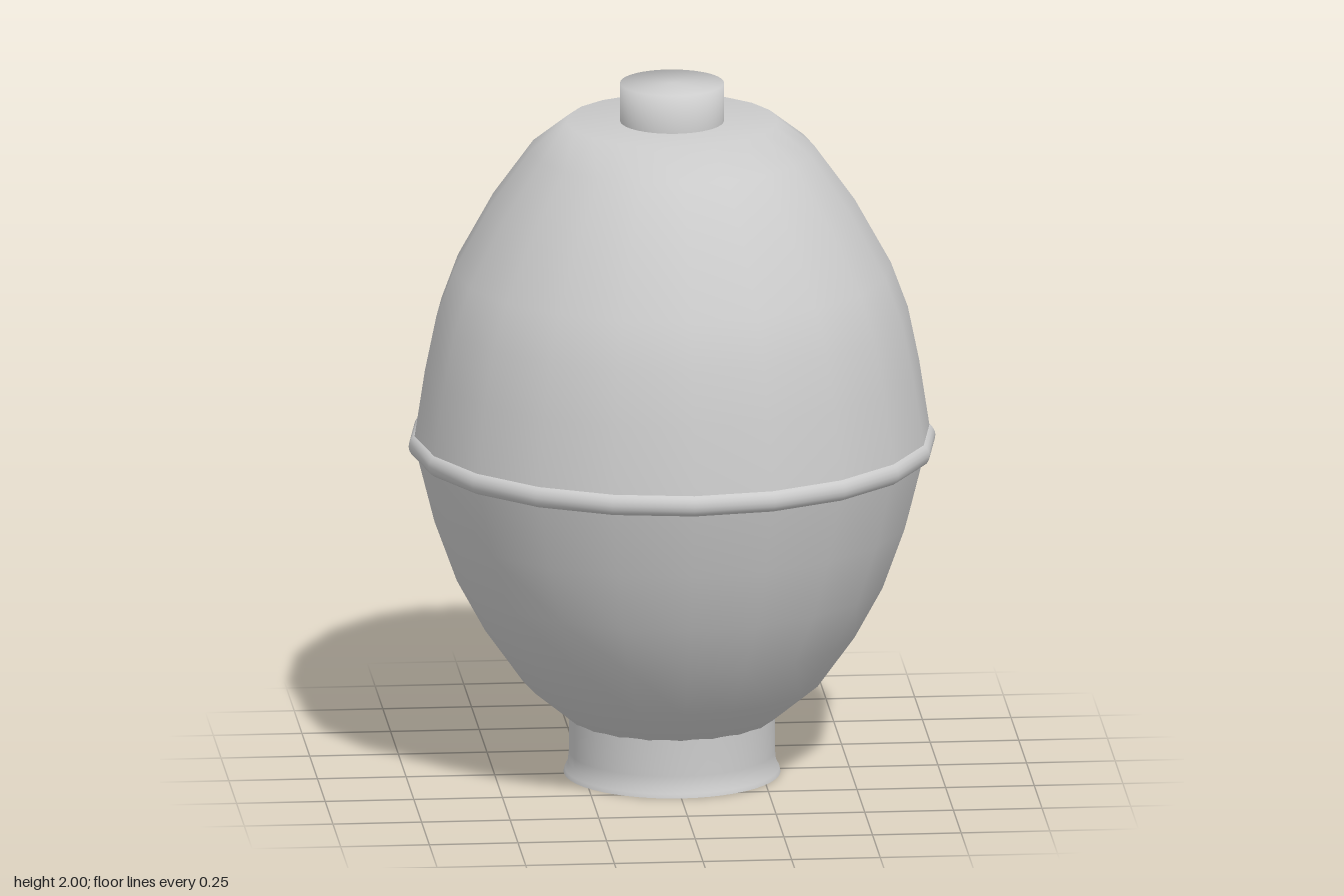
import * as THREE from 'three';

// Revolve a bottom-to-top list of [radius, height] pairs with smooth normals
function turned(name, profile, sides) {
  const points = profile.map(([r, y]) => new THREE.Vector2(r, y));
  const material = new THREE.MeshStandardMaterial({ color: 0xcccccc });
  const mesh = new THREE.Mesh(new THREE.LatheGeometry(points, sides), material);
  mesh.name = name;
  return mesh;
}

export function createModel() {
  const group = new THREE.Group();
  group.name = 'eggCasing';

  // Foot with a small flared lip
  group.add(turned('foot', [
    [0.305, 0], [0.302, 0.012], [0.293, 0.03], [0.29, 0.06], [0.29, 0.17],
  ], 48));

  // Flat underside of the foot
  const underside = new THREE.Mesh(
    new THREE.CircleGeometry(0.305, 48),
    new THREE.MeshStandardMaterial({ color: 0xcccccc }),
  );
  underside.rotation.x = Math.PI / 2;
  underside.name = 'footUnderside';
  group.add(underside);

  // Lower half of the egg
  group.add(turned('lowerShell', [
    [0.28, 0.155], [0.42, 0.27], [0.527, 0.42], [0.607, 0.567],
    [0.67, 0.74], [0.718, 0.93], [0.722, 0.96],
  ], 20));

  // Upper half of the egg, closed by a flat top
  group.add(turned('upperShell', [
    [0.725, 0.96], [0.726, 0.99], [0.697, 1.18], [0.665, 1.335], [0.617, 1.465],
    [0.515, 1.65], [0.4, 1.81], [0.298, 1.89], [0, 1.89],
  ], 20));

  // Rounded seam band around the middle
  const band = [];
  for (let i = 0; i <= 8; i++) {
    const a = -Math.PI / 2 + (i / 8) * Math.PI;
    band.push([0.715 + 0.028 * Math.cos(a), 0.96 + 0.032 * Math.sin(a)]);
  }
  group.add(turned('seamBand', band, 20));

  // Knob on top
  group.add(turned('topKnob', [[0.146, 1.88], [0.146, 2], [0, 2]], 48));

  return group;
}
